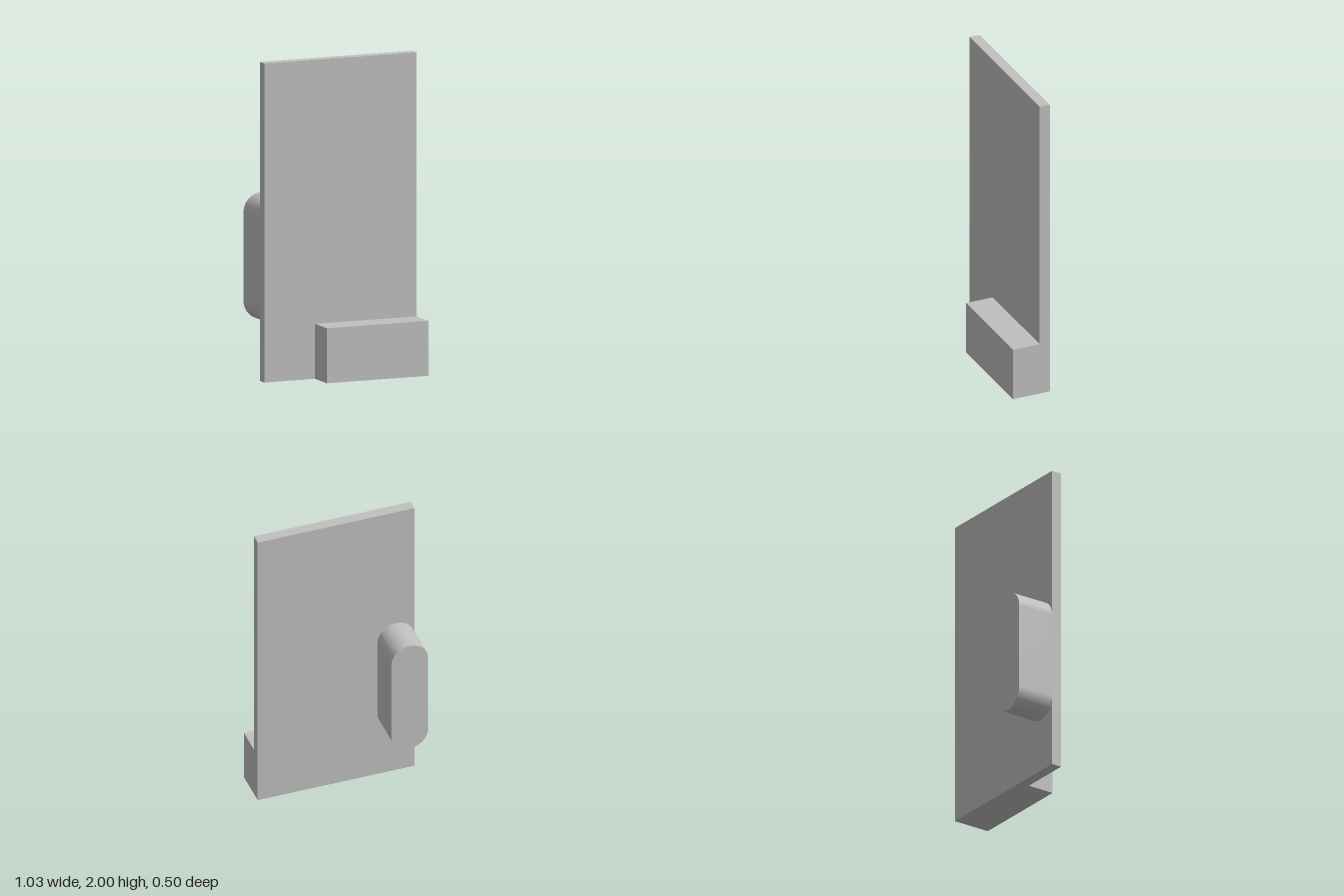
import * as THREE from 'three';
import { toCreasedNormals } from 'three/addons/utils/BufferGeometryUtils.js';

export function createModel() {
  const group = new THREE.Group();
  const grey = new THREE.MeshStandardMaterial({ color: 0xc0c0c0 });
  grey.name = 'grey';

  const add = (name, geometry) => {
    const mesh = new THREE.Mesh(geometry, grey);
    mesh.name = name;
    group.add(mesh);
  };

  // Box given by its minimum and maximum corners
  const box = (x0, y0, z0, x1, y1, z1) =>
    new THREE.BoxGeometry(x1 - x0, y1 - y0, z1 - z0)
      .translate((x0 + x1) / 2, (y0 + y1) / 2, (z0 + z1) / 2);

  // Tall upright panel and the block at the foot of its front
  add('panel', box(-0.515, 0, 0, 0.515, 2, 0.069));
  add('frontBlock', box(-0.173, 0, 0.069, 0.515, 0.345, 0.25));

  // Round-ended handle standing out from the back, flush with the panel's edge
  const r = 0.121, x = -0.515 + r, low = 0.345 + r, high = 1.138 - r;
  const outline = new THREE.Shape();
  outline.absarc(x, high, r, 0, Math.PI);
  outline.absarc(x, low, r, Math.PI, Math.PI * 2);
  outline.closePath();
  const handle = new THREE.ExtrudeGeometry(outline, { depth: 0.25, bevelEnabled: false, curveSegments: 24 });
  handle.translate(0, 0, -0.25);
  add('backHandle', toCreasedNormals(handle, Math.PI / 6));

  return group;
}
